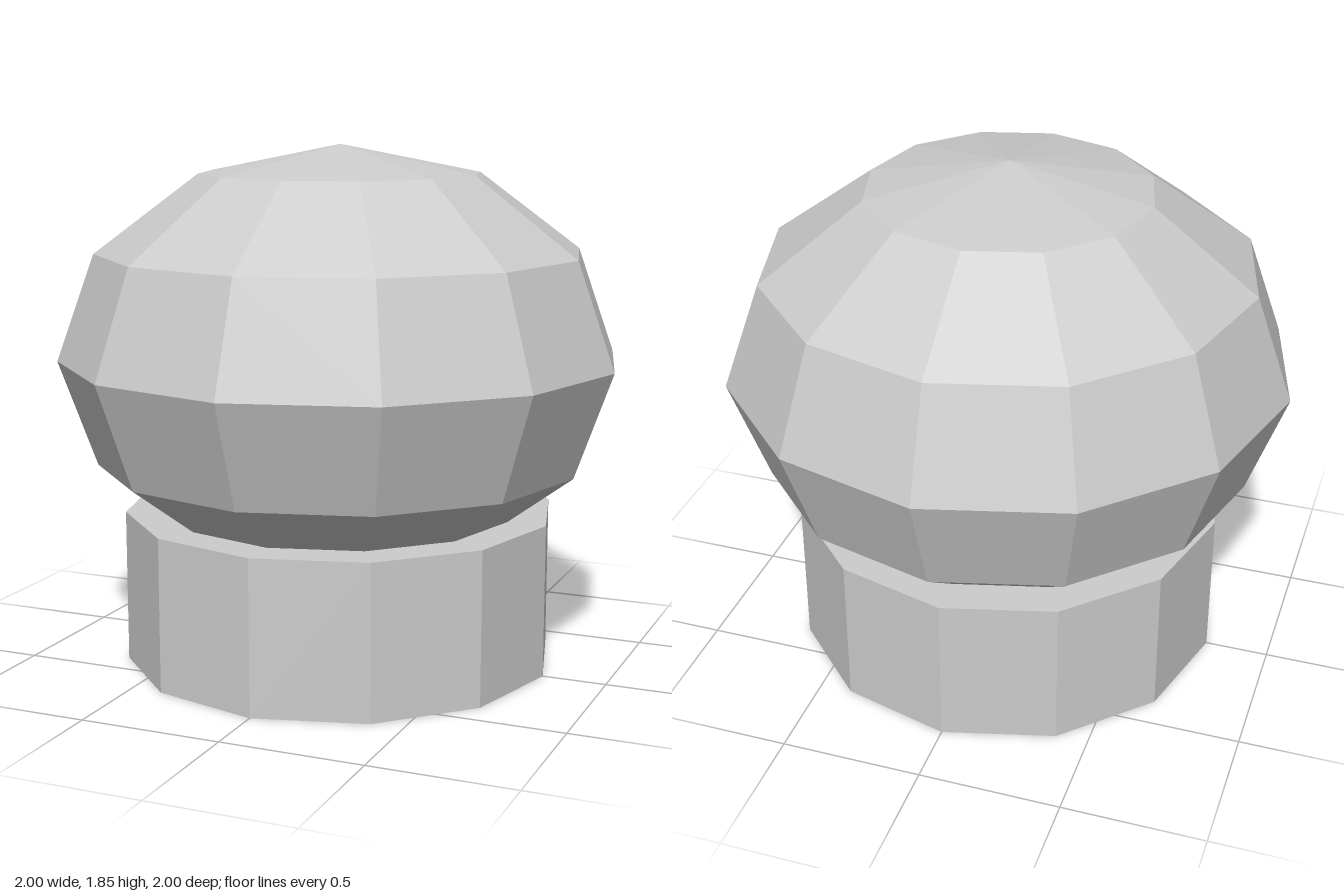
import * as THREE from 'three';

export function createModel() {
  const group = new THREE.Group();
  const grey = new THREE.MeshStandardMaterial({ color: 0xcccccc, flatShading: true });
  grey.name = 'grey';
  const sides = 12;

  const add = (name, geometry, y) => {
    const mesh = new THREE.Mesh(geometry, grey);
    mesh.name = name;
    mesh.position.y = y;
    group.add(mesh);
  };

  // Squat cylindrical foot
  const baseHeight = 0.545;
  add('base', new THREE.CylinderGeometry(0.773, 0.773, baseHeight, sides), baseHeight / 2);

  // Flattened faceted dome, sunk into the foot
  add('cap', new THREE.SphereGeometry(1, sides, 6).scale(1, 0.75, 1), 1.095);

  return group;
}
